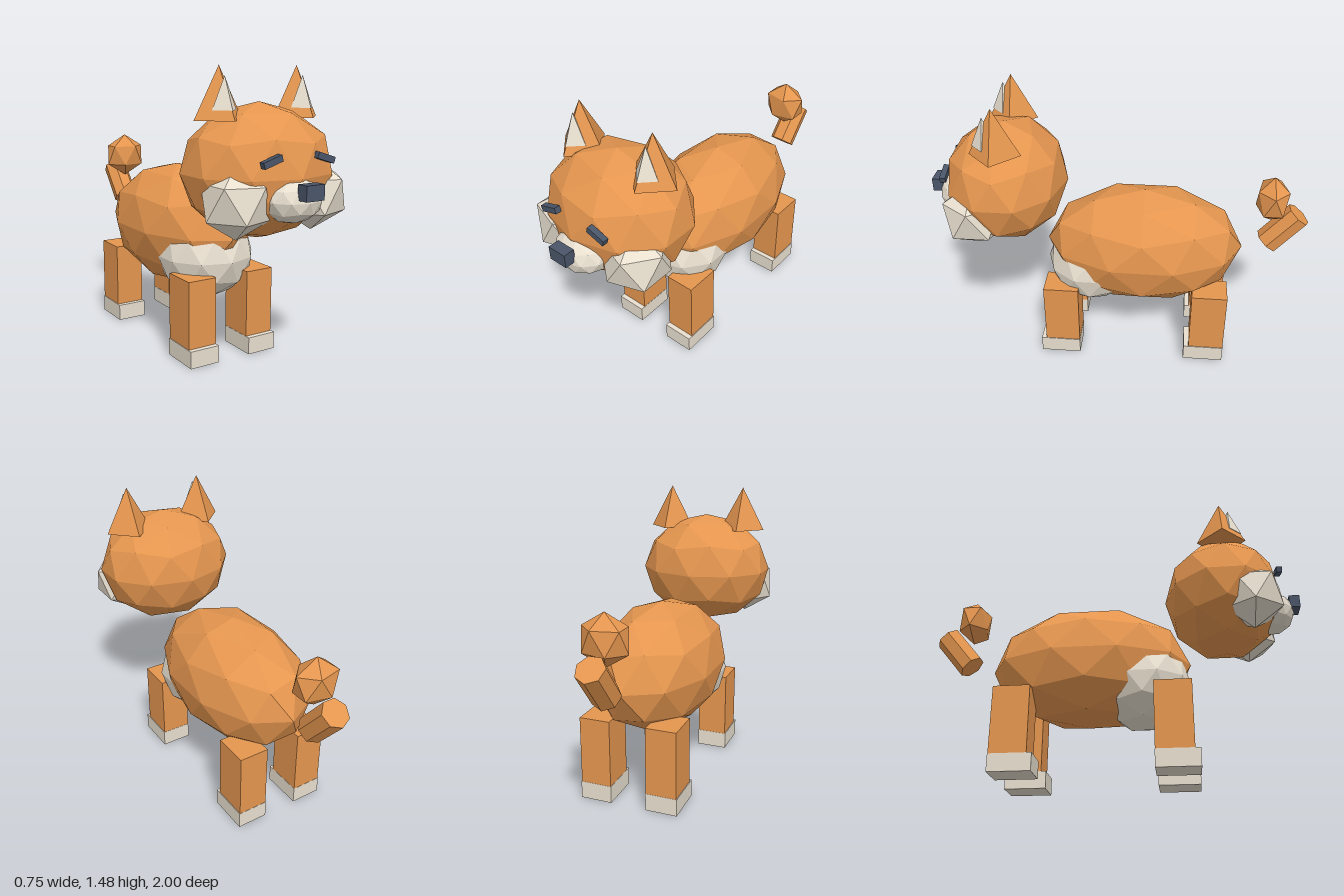
import * as THREE from 'three';

const material = (color) => new THREE.MeshStandardMaterial({ color, flatShading: true });

export function createModel() {
  const model = new THREE.Group();
  model.name = 'dog';
  const orange = material(0xe5964f);
  const cream = material(0xe8dfcf);
  const dark = material(0x4a5568);

  function add(name, geometry, mat, x, y, z) {
    const mesh = new THREE.Mesh(geometry, mat);
    mesh.name = name;
    mesh.position.set(x, y, z);
    model.add(mesh);
    return mesh;
  }

  // Faceted ball with a corner at the top and one upper-ring corner towards +x
  function ball(rx, ry, rz, detail) {
    const g = new THREE.IcosahedronGeometry(1, detail);
    g.rotateX(-Math.atan2((1 + Math.sqrt(5)) / 2, 1));
    g.rotateY(Math.PI / 2);
    g.scale(rx, ry, rz);
    g.computeVertexNormals();
    return g;
  }
  const box = (w, h, d) => new THREE.BoxGeometry(w, h, d);

  // Body and head
  add('body', ball(0.315, 0.333, 0.535, 1), orange, 0, 0.617, -0.135);
  add('chest', ball(0.26, 0.235, 0.25, 1), cream, 0, 0.5, 0.15);
  add('head', ball(0.384, 0.32, 0.32, 1), orange, 0, 0.997, 0.595);
  add('muzzle', ball(0.144, 0.107, 0.12, 1), cream, 0, 0.9, 0.85);
  add('nose', box(0.1, 0.07, 0.056), dark, 0, 0.95, 0.972);

  for (const [label, s] of [['left', 1], ['right', -1]]) {
    // Face
    add(label + 'Cheek', ball(0.175, 0.175, 0.175, 0), cream, s * 0.216, 0.892, 0.73);
    add(label + 'Eye', box(0.1, 0.03, 0.03), dark, s * 0.147, 1.08, 0.885).rotation.z = -s * 0.3;

    // Four-sided ears with a smaller cone set into the front
    add(label + 'Ear', new THREE.ConeGeometry(0.13, 0.24, 4), orange, s * 0.22, 1.36, 0.592);
    add(label + 'InnerEar', new THREE.ConeGeometry(0.065, 0.15, 4), cream, s * 0.22, 1.36, 0.638);

    // Legs and paws; each paw sticks out a little at the front
    for (const [end, z] of [['Front', 0.303], ['Back', -0.503]]) {
      add(label + end + 'Leg', box(0.16, 0.38, 0.19), orange, s * 0.175, 0.25, z);
      add(label + end + 'Paw', box(0.165, 0.09, 0.218), cream, s * 0.176, 0.045, z + 0.013);
    }
  }

  // Tail: a tilted seven-sided stem and a faceted tip
  const stem = new THREE.CylinderGeometry(0.072, 0.072, 0.232, 7);
  stem.rotateY(Math.PI);
  add('tailStem', stem, orange, 0, 0.75, -0.874).rotation.x = -0.69;
  add('tailTip', ball(0.128, 0.128, 0.094, 0), orange, 0, 0.928, -0.802);

  return model;
}
